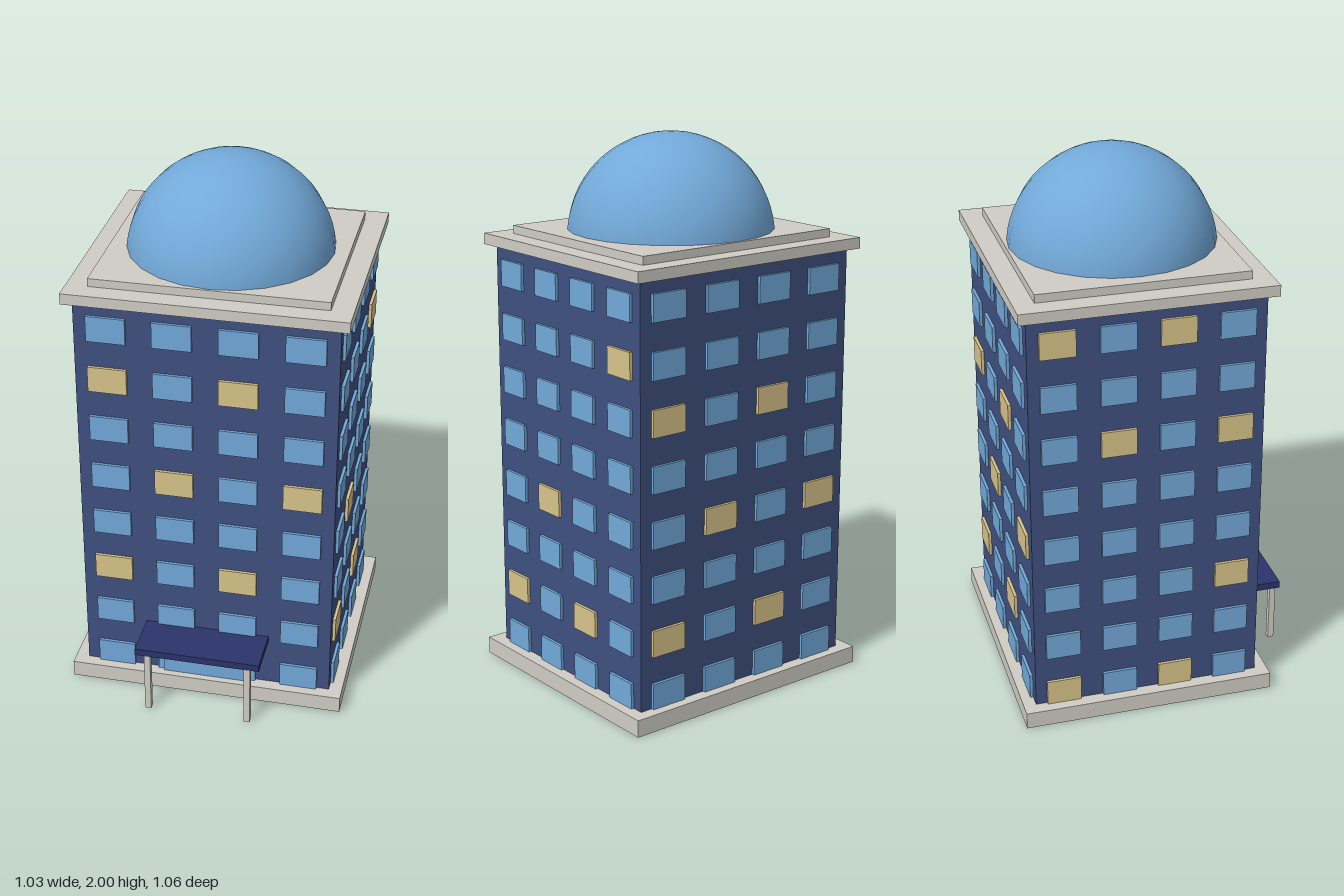
import * as THREE from 'three';

const CZ = -0.066;                       // tower axis in z
const HALF_W = 0.466, HALF_D = 0.42;     // half width and depth of the walls
const ROWS = 8, COLS = 4, FLOOR = 0.1977, FIRST = 0.11;

function material(name, color) {
  const m = new THREE.MeshStandardMaterial({ color });
  m.name = name;
  return m;
}

export function createModel() {
  const wall = material('navy wall', 0x3f5080);
  const stone = material('pale stone', 0xd0cdc5);
  const glass = material('blue glass', 0x72a9d9);
  const lit = material('lit window', 0xd8c48a);
  const awning = material('dark blue canopy', 0x2c336b);

  const model = new THREE.Group();
  model.name = 'tower';

  // Box given by its size, bottom height and centre
  function box(name, mat, w, h, d, x, y0, z, parent = model) {
    const mesh = new THREE.Mesh(new THREE.BoxGeometry(w, h, d), mat);
    mesh.name = name;
    mesh.position.set(x, y0 + h / 2, z);
    parent.add(mesh);
    return mesh;
  }

  // Main masses; the walls reach just below the plinth
  box('walls', wall, HALF_W * 2, 1.59, HALF_D * 2, 0, 0, CZ);
  box('plinth', stone, 1.03, 0.063, 0.932, 0, 0.001, CZ);
  box('cornice', stone, 0.998, 0.04, 0.904, 0, 1.59, CZ);
  box('roofSlab', stone, 0.842, 0.03, 0.756, 0, 1.63, CZ);

  // Dome
  const dome = new THREE.Mesh(
    new THREE.SphereGeometry(0.372, 24, 16, 0, Math.PI * 2, 0, Math.PI / 2), glass);
  dome.name = 'dome';
  dome.position.set(0, 1.628, CZ);
  model.add(dome);

  // Windows: [row from the ground, column from the left seen from outside] of lit ones
  const faces = [
    { name: 'frontWindows', span: HALF_W, out: HALF_D, lit: ['6,0', '6,2', '4,1', '4,3', '2,0', '2,2'] },
    { name: 'leftSideWindows', span: HALF_D, out: HALF_W, lit: ['6,3', '3,1', '1,0', '1,2'] },
    { name: 'backWindows', span: HALF_W, out: HALF_D, lit: ['5,0', '5,2', '3,1', '3,3', '1,0', '1,2'] },
    { name: 'rightSideWindows', span: HALF_D, out: HALF_W, lit: ['7,0', '7,2', '5,1', '5,3', '2,3', '0,0', '0,2'] },
  ];
  faces.forEach((face, i) => {
    const group = new THREE.Group();
    group.name = face.name;
    group.position.z = CZ;
    group.rotation.y = i * Math.PI / 2;
    const pitch = face.span * 2 / COLS;
    for (let r = 0; r < ROWS; r++) {
      for (let c = 0; c < COLS; c++) {
        const isLit = face.lit.includes(`${r},${c}`);
        box(isLit ? 'litWindow' : 'window', isLit ? lit : glass, pitch * 0.6, 0.097, 0.022,
          (c - (COLS - 1) / 2) * pitch, FIRST + r * FLOOR - 0.0485, face.out, group);
      }
    }
    model.add(group);
  });

  // Entrance: glass door, canopy and two posts
  box('door', glass, 0.328, 0.171, 0.03, 0, 0.064, 0.36);
  box('canopy', awning, 0.466, 0.027, 0.178, 0, 0.245, 0.443);
  for (const s of [-1, 1]) box('canopyPost', stone, 0.023, 0.245, 0.023, s * 0.188, 0, 0.517);

  return model;
}
